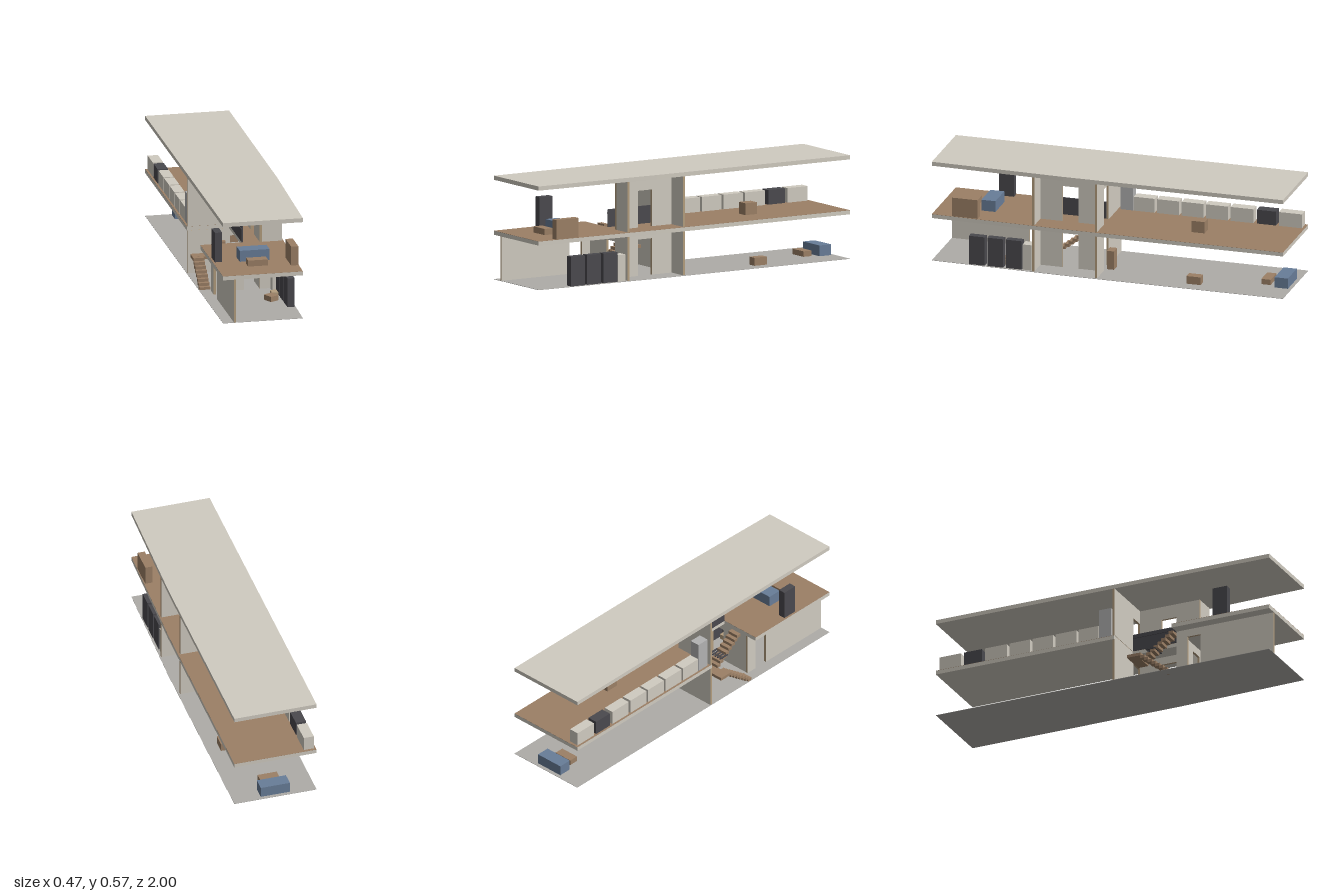
import * as THREE from 'three';

const mat = (name, color) => {
  const m = new THREE.MeshStandardMaterial({ color });
  m.name = name;
  return m;
};

export function createModel() {
  const plaster = mat('plaster', 0xd0cbc0);
  const ground = mat('ground grey', 0xaeaca8);
  const wood = mat('wood', 0x9c8066);
  const tan = mat('wall core tan', 0xb59e7e);
  const dark = mat('charcoal', 0x4a494e);
  const blue = mat('blue fabric', 0x687d98);
  const steel = mat('steel grey', 0xb2b2b2);

  const house = new THREE.Group();
  house.name = 'house';

  // Box given by its limits on each axis
  const box = (name, material, x0, x1, y0, y1, z0, z1, parent = house) => {
    const m = new THREE.Mesh(new THREE.BoxGeometry(x1 - x0, y1 - y0, z1 - z0), material);
    m.position.set((x0 + x1) / 2, (y0 + y1) / 2, (z0 + z1) / 2);
    m.name = name;
    parent.add(m);
    return m;
  };

  // Levels
  const F = 0.268, CEIL1 = 0.245, CEIL2 = 0.547, ROOF = 0.57;

  // Horizontal plate from the plan outline, points are (x, z)
  const outline = [[-0.233, -1], [0.233, -1], [0.23, 0.25], [0.21, 1], [-0.233, 1]];
  const stairwell = [[-0.233, 0.415], [0, 0.415], [0, 0.07], [-0.233, 0.07]];
  const plate = (name, material, points, y0, y1) => {
    const shape = new THREE.Shape(points.map(p => new THREE.Vector2(p[0], p[1])));
    const g = new THREE.ExtrudeGeometry(shape, { depth: y1 - y0, bevelEnabled: false });
    g.rotateX(Math.PI / 2);
    const m = new THREE.Mesh(g, material);
    m.position.y = y1;
    m.name = name;
    house.add(m);
  };
  plate('groundFloor', ground, outline, 0, 0.002);
  const upper = outline.concat(stairwell);
  plate('upperSlab', plaster, upper, CEIL1, F - 0.001);
  plate('upperFloorBoards', wood, upper, F - 0.001, F);
  plate('roofSlab', plaster, outline, CEIL2, ROOF);

  // Upright wall from a to b along one axis, with an optional door [start, end, head]
  const T = 0.013;
  const wall = (name, axis, at, a, b, y0, y1, door) => {
    const s = new THREE.Shape();
    s.moveTo(a, y0);
    if (door) {
      s.lineTo(door[0], y0);
      s.lineTo(door[0], door[2]);
      s.lineTo(door[1], door[2]);
      s.lineTo(door[1], y0);
    }
    s.lineTo(b, y0);
    s.lineTo(b, y1);
    s.lineTo(a, y1);
    const g = new THREE.ExtrudeGeometry(s, { depth: T, bevelEnabled: false });
    g.translate(0, 0, -T / 2);
    const m = new THREE.Mesh(g, [plaster, tan]);
    if (axis === 'z') {
      m.rotation.y = -Math.PI / 2;
      m.position.x = at;
    } else m.position.z = at;
    m.name = name;
    house.add(m);
  };
  // Ground floor walls
  wall('lowerRearPartition', 'x', 0.065, -0.23, 0.218, 0.001, CEIL1, [0.007, 0.093, 0.202]);
  wall('lowerFrontPartition', 'x', 0.422, -0.16, 0.218, 0.001, CEIL1, [0.007, 0.093, 0.202]);
  wall('lowerRoomWall', 'z', 0.1, 0.0715, 0.4155, 0.001, CEIL1, [0.2, 0.29, 0.202]);
  wall('lowerSideWall', 'z', -0.166, 0.4155, 0.998, 0.001, CEIL1, [0.48, 0.56, 0.202]);
  // Upper floor walls
  wall('upperRearPartition', 'x', 0.065, -0.23, 0.218, F, CEIL2, [0.007, 0.093, 0.47]);
  wall('upperFrontPartition', 'x', 0.422, 0.1065, 0.218, F, CEIL2);
  wall('upperRoomWall', 'z', 0.1, 0.0715, 0.4285, F, CEIL2, [0.2, 0.29, 0.47]);

  // Staircase: two flights of treads and a half landing
  const stairs = new THREE.Group();
  stairs.name = 'staircase';
  house.add(stairs);
  const rise = 0.0168, run = 0.0225;
  for (let i = 0; i < 8; i++) {
    const z1 = 0.385 - i * run;
    box('lowerTread', wood, -0.23, -0.17, i * rise, (i + 1) * rise, z1 - run - 0.004, z1, stairs);
    const z0 = 0.2 + i * run;
    box('upperTread', wood, -0.15, -0.085, 0.118 + (i + 1) * rise, 0.118 + (i + 2) * rise, z0, z0 + run + 0.004, stairs);
  }
  box('landing', wood, -0.23, -0.085, 0.118, 0.135, 0.145, 0.205, stairs);
  for (let i = 0; i < 5; i++) {
    const x = -0.155 + i * 0.019;
    box('stairBar', dark, x, x + 0.009, 0.183, 0.189, 0.22, 0.28, stairs);
  }
  // Guard beside the stairwell
  box('stairGuard', dark, -0.003, 0.003, F, 0.365, 0.075, 0.415);
  box('handrail', dark, -0.008, -0.003, 0.341, 0.346, 0.075, 0.415);

  // Ground floor furniture
  for (const z of [0.49, 0.595, 0.7]) box('locker', dark, 0.17, 0.21, 0.002, 0.165, z, z + 0.09);
  box('paleCabinet', plaster, 0.152, 0.208, 0.002, 0.147, 0.435, 0.485);
  box('sideboard', wood, 0.007, 0.067, 0.002, 0.108, 0.01, 0.05);
  box('lowStool', wood, 0.11, 0.16, 0.002, 0.046, -0.51, -0.43);
  box('lowBench', wood, 0.085, 0.14, 0.002, 0.031, 0.61, 0.67).rotation.y = 0.5;
  box('smallBench', tan, 0.125, 0.16, 0.002, 0.03, 0.55, 0.6);

  // Sofa with a coffee table, one set on each floor
  box('lowerSofa', blue, -0.088, 0.077, 0.002, 0.061, -0.98, -0.905);
  box('lowerCoffeeTable', wood, -0.062, 0.047, 0.002, 0.032, -0.873, -0.82);
  box('upperSofa', blue, -0.088, 0.077, F, 0.33, 0.68, 0.76);
  box('upperCoffeeTable', wood, -0.062, 0.047, F, 0.302, 0.8, 0.855);

  // Upper floor furniture
  box('tallCupboard', dark, -0.222, -0.182, F, 0.435, 0.655, 0.74);
  box('chest', wood, 0.17, 0.21, F, 0.375, 0.74, 0.885);
  box('kitchenTable', wood, 0.007, 0.068, F, 0.333, -0.505, -0.43);
  box('fridge', steel, -0.222, -0.165, F, 0.44, -0.027, 0.045);

  // Kitchen run, with one dark appliance
  const units = [[-0.15, -0.03], [-0.288, -0.163], [-0.427, -0.302], [-0.565, -0.44], [-0.71, -0.58], [-0.838, -0.73], [-0.985, -0.855]];
  units.forEach(([z0, z1], i) =>
    box(i === 5 ? 'oven' : 'kitchenUnit', i === 5 ? dark : plaster, -0.222, -0.165, F, 0.348, z0, z1));

  return house;
}
